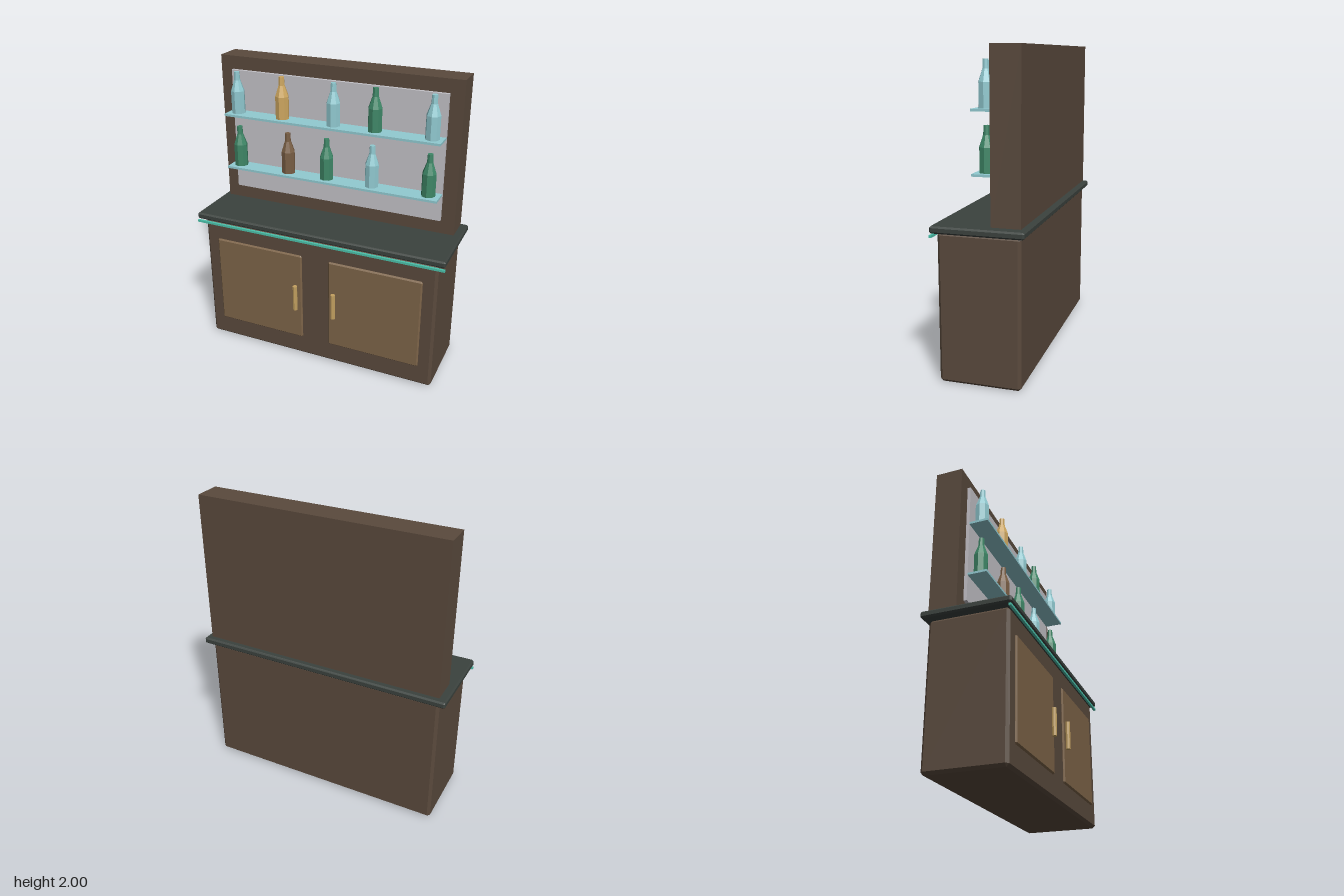
import * as THREE from 'three';
import { ConvexGeometry } from 'three/addons/geometries/ConvexGeometry.js';

const mat = (name, color, opts = {}) => {
  const m = new THREE.MeshStandardMaterial({ color, ...opts });
  m.name = name;
  return m;
};

// Box given by its minimum and maximum corners
function box(min, max) {
  const g = new THREE.BoxGeometry(max[0] - min[0], max[1] - min[1], max[2] - min[2]);
  return g.translate((min[0] + max[0]) / 2, (min[1] + max[1]) / 2, (min[2] + max[2]) / 2);
}

// Box with every edge cut at 45 degrees by c
function chamferBox(min, max, c) {
  const mid = min.map((v, i) => (v + max[i]) / 2);
  const half = min.map((v, i) => (max[i] - v) / 2);
  const points = [];
  for (const sx of [-1, 1]) for (const sy of [-1, 1]) for (const sz of [-1, 1]) {
    for (let axis = 0; axis < 3; axis++) {
      const p = [sx, sy, sz].map((s, i) => mid[i] + s * (half[i] - (i === axis ? 0 : c)));
      points.push(new THREE.Vector3(...p));
    }
  }
  return new ConvexGeometry(points);
}

export function createModel() {
  const group = new THREE.Group();
  group.name = 'barCabinet';

  const wood = mat('dark wood', 0x5a4a3d);
  const doorWood = mat('door wood', 0x7d6448);
  const stone = mat('counter stone', 0x3b423e);
  const teal = mat('teal trim', 0x4cc2ac);
  const brass = mat('brass', 0xc2a060, { flatShading: true });
  const mirror = mat('mirror', 0xc4c2c8);
  const paleGlass = mat('pale glass', 0x92cbd2, { flatShading: true });
  const greenGlass = mat('green glass', 0x3f8868, { flatShading: true });
  const amberGlass = mat('amber glass', 0xcfa860, { flatShading: true });
  const brownGlass = mat('brown glass', 0x7a5f45, { flatShading: true });

  const add = (name, geometry, material) => {
    const mesh = new THREE.Mesh(geometry, material);
    mesh.name = name;
    group.add(mesh);
    return mesh;
  };

  // Base cabinet, counter and the trim under its front edge
  add('cabinet', chamferBox([-0.835, 0, -0.257], [0.835, 0.93, 0.254], 0.018), wood);
  add('counter', chamferBox([-0.882, 0.93, -0.29], [0.882, 0.974, 0.283], 0.01), stone);
  add('counterTrim', box([-0.882, 0.905, 0.267], [0.882, 0.92, 0.283]), teal);

  // Doors with upright handles near the middle
  for (const [side, s] of [['left', 1], ['right', -1]]) {
    const x = s * 0.42;
    add(side + 'Door', chamferBox([x - 0.323, 0.145, 0.235], [x + 0.323, 0.792, 0.265], 0.009), doorWood);
    const handle = add(side + 'Handle', new THREE.CylinderGeometry(0.016, 0.016, 0.185, 8), brass);
    handle.position.set(s * 0.14, 0.468, 0.281);
  }

  // Back panel with its mirror
  add('backPanel', box([-0.835, 0.981, -0.26], [0.835, 2, -0.079]), wood);
  add('mirror', box([-0.745, 1.076, -0.082], [0.745, 1.912, -0.057]), mirror);

  // Bottle profile, standing on its own origin
  const bottleGeometry = new THREE.LatheGeometry([
    [0, 0], [0.046, 0], [0.046, 0.15], [0.021, 0.222], [0.018, 0.277], [0, 0.277],
  ].map(([r, y]) => new THREE.Vector2(r, y)), 8);

  // Shelves and the bottles on them
  const shelves = [
    { y: 1.64, bottles: [[-0.675, paleGlass], [-0.345, amberGlass], [0.02, paleGlass], [0.302, greenGlass], [0.674, paleGlass]] },
    { y: 1.266, bottles: [[-0.675, greenGlass], [-0.31, brownGlass], [-0.028, greenGlass], [0.29, paleGlass], [0.67, greenGlass]] },
  ];
  for (const { y, bottles } of shelves) {
    add('shelf', box([-0.745, y - 0.015, -0.07], [0.745, y, 0.068]), paleGlass);
    for (const [x, glass] of bottles) add('bottle', bottleGeometry, glass).position.set(x, y, -0.002);
  }

  return group;
}
